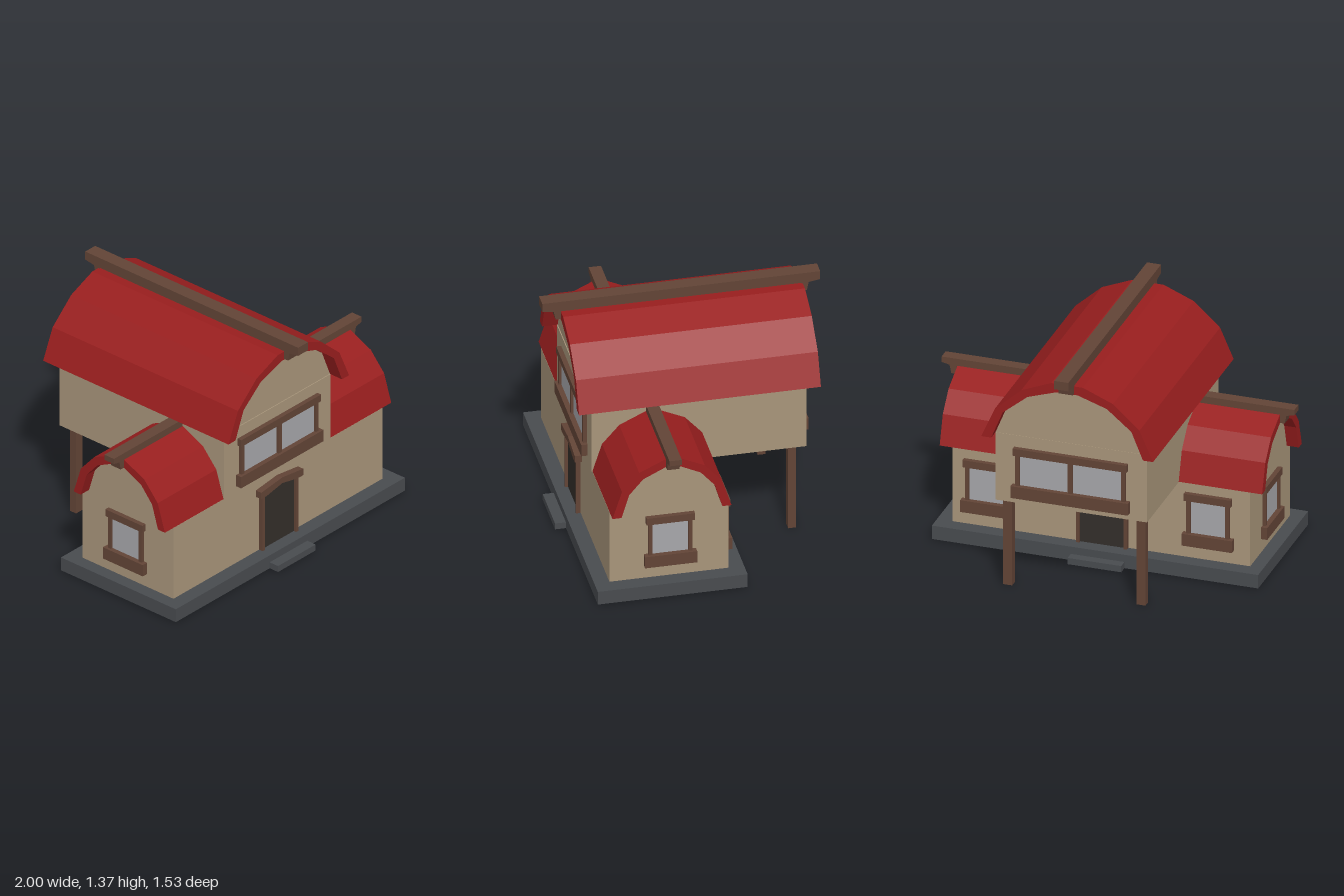
import * as THREE from 'three';

const mat = (color) => new THREE.MeshStandardMaterial({ color, flatShading: true });
const wall = mat(0xa8957a), red = mat(0x981e1e), wood = mat(0x624436);
const stone = mat(0x484b4f), glass = mat(0xa6a6aa), dark = mat(0x332e2a);

function add(parent, name, geometry, material) {
  const mesh = new THREE.Mesh(geometry, material);
  mesh.name = name;
  parent.add(mesh);
  return mesh;
}

// Box given by its extents on each axis
function box(parent, name, material, [x0, x1], [y0, y1], [z0, z1]) {
  const g = new THREE.BoxGeometry(x1 - x0, y1 - y0, z1 - z0);
  g.translate((x0 + x1) / 2, (y0 + y1) / 2, (z0 + z1) / 2);
  return add(parent, name, g, material);
}

function extrude(points, depth) {
  const shape = new THREE.Shape(points.map(([x, y]) => new THREE.Vector2(x, y)));
  return new THREE.ExtrudeGeometry(shape, { depth, bevelEnabled: false }).translate(0, 0, -depth / 2);
}

// Half profile (from eave to ridge) mirrored into a full arch, right to left
const arch = (half) => [...half, ...half.map(([x, y]) => [-x, y]).reverse()];

// Curved barn roof shell along z
function roof(parent, name, outer, inner, z0, z1) {
  const g = extrude([...arch(outer), ...arch(inner).reverse()], z1 - z0);
  add(parent, name, g.translate(0, 0, (z0 + z1) / 2), red);
}

// Ridge beam along z with a stepped bracket under each end
function ridge(parent, half, roofHalf, y0, y1, width) {
  const side = [[roofHalf, y0], [roofHalf, y0 - 0.048], [roofHalf + 0.03, y0 - 0.048],
    [roofHalf + 0.04, y0], [half, y0 + 0.01], [half, y1]];
  const g = extrude([...side, ...side.map(([x, y]) => [-x, y]).reverse()], width);
  add(parent, 'ridgeBeam', g.rotateY(-Math.PI / 2), wood);
}

// Window facing +z on the plane z = 0; w is the half width of the glass
function windowUnit(parent, name, w, y0, y1, panes) {
  const g = new THREE.Group();
  g.name = name;
  box(g, 'glass', glass, [-w, w], [y0, y1], [-0.01, 0.006]);
  box(g, 'sill', wood, [-w - 0.04, w + 0.04], [y0 - 0.07, y0], [-0.01, 0.035]);
  box(g, 'header', wood, [-w - 0.03, w + 0.03], [y1, y1 + 0.042], [-0.01, 0.027]);
  for (const s of [-1, 1]) {
    const x = s * (w + 0.007);
    box(g, 'jamb', wood, [x - 0.011, x + 0.011], [y0, y1], [-0.01, 0.02]);
  }
  if (panes > 1) box(g, 'mullion', wood, [-0.013, 0.013], [y0, y1], [-0.01, 0.02]);
  parent.add(g);
  return g;
}

// Door facing +z with a peaked lintel
function doorUnit(parent, name) {
  const g = new THREE.Group();
  g.name = name;
  box(g, 'door', dark, [-0.13, 0.13], [0.08, 0.44], [-0.01, 0.008]);
  for (const s of [-1, 1]) {
    const x = s * 0.135;
    box(g, 'doorPost', wood, [x - 0.009, x + 0.009], [0.08, 0.43], [-0.01, 0.025]);
  }
  const lintel = extrude([[-0.17, 0.425], [-0.13, 0.425], [0, 0.45], [0.13, 0.425], [0.17, 0.425],
    [0.17, 0.465], [0, 0.486], [-0.17, 0.465]], 0.045);
  add(g, 'doorLintel', lintel.translate(0, 0, 0.015), wood);
  parent.add(g);
  return g;
}

export function createModel() {
  const house = new THREE.Group();
  house.name = 'barnHouse';
  const cx = -0.015, cz = 0.247;

  // Foundation and steps
  box(house, 'foundation', stone, [-0.925, 0.925], [0.005, 0.085], [-0.165, 0.658]);
  box(house, 'doorSteps', stone, [cx - 0.152, cx + 0.152], [0.005, 0.042], [-0.218, 0.718]);

  // Low cross wing with a roof on each side of the main block
  box(house, 'wingWalls', wall, [-0.85, 0.838], [0.08, 0.526], [-0.078, 0.575]);
  const wing = new THREE.Group();
  wing.name = 'wingRoofs';
  wing.position.z = cz;
  wing.rotation.y = Math.PI / 2;
  house.add(wing);
  const wingOuter = [[0.327, 0.526], [0.275, 0.69], [0.18, 0.798], [0.035, 0.866]];
  const wingInner = [[0.277, 0.526], [0.235, 0.665], [0.158, 0.755], [0.035, 0.815]];
  for (const [z0, z1, w0, w1] of [[0.38, 0.91, 0.38, 0.838], [-0.918, -0.4, -0.85, -0.4]]) {
    roof(wing, 'wingRoof', wingOuter, wingInner, z0, z1);
    const gable = extrude(arch(wingInner), w1 - w0);
    add(wing, 'wingGable', gable.translate(0, 0, (w0 + w1) / 2), wall);
  }
  ridge(wing, 1.0, 0.915, 0.865, 0.907, 0.068);

  // Tall main block overhanging the back
  const main = new THREE.Group();
  main.name = 'mainBlock';
  main.position.x = cx;
  house.add(main);
  box(main, 'upperWalls', wall, [-0.43, 0.43], [0.524, 0.926], [-0.6, 0.579]);
  const mainOuter = [[0.487, 0.925], [0.41, 1.1], [0.26, 1.235], [0.09, 1.305]];
  const mainInner = [[0.43, 0.925], [0.365, 1.085], [0.225, 1.2], [0.06, 1.255]];
  roof(main, 'mainRoof', mainOuter, mainInner, -0.668, 0.66);
  add(main, 'mainGable', extrude(arch(mainInner), 1.172).translate(0, 0, -0.012), wall);
  ridge(main, 0.763, 0.66, 1.31, 1.37, 0.08);

  // Posts under the overhang
  for (const s of [-1, 1]) {
    const x = s * 0.378;
    box(main, 'overhangPost', wood, [x - 0.026, x + 0.026], [0, 0.526], [-0.55, -0.506]);
  }

  // Upper windows and doors, front and back
  windowUnit(main, 'frontWindow', 0.293, 0.635, 0.815, 2).position.z = 0.579;
  const backWindow = windowUnit(main, 'backWindow', 0.293, 0.635, 0.815, 2);
  backWindow.position.z = -0.6;
  backWindow.rotation.y = Math.PI;
  doorUnit(main, 'frontDoor').position.z = 0.576;
  const backDoor = doorUnit(main, 'backDoor');
  backDoor.position.z = -0.078;
  backDoor.rotation.y = Math.PI;

  // Wing windows at the ends and on the back
  for (const [x, z, turn] of [[0.838, 0.243, 0.5], [-0.85, 0.243, -0.5], [0.64, -0.078, 1], [-0.615, -0.078, 1]]) {
    const w = windowUnit(house, 'wingWindow', 0.103, 0.235, 0.43, 1);
    w.position.set(x, 0, z);
    w.rotation.y = turn * Math.PI;
  }
  return house;
}
